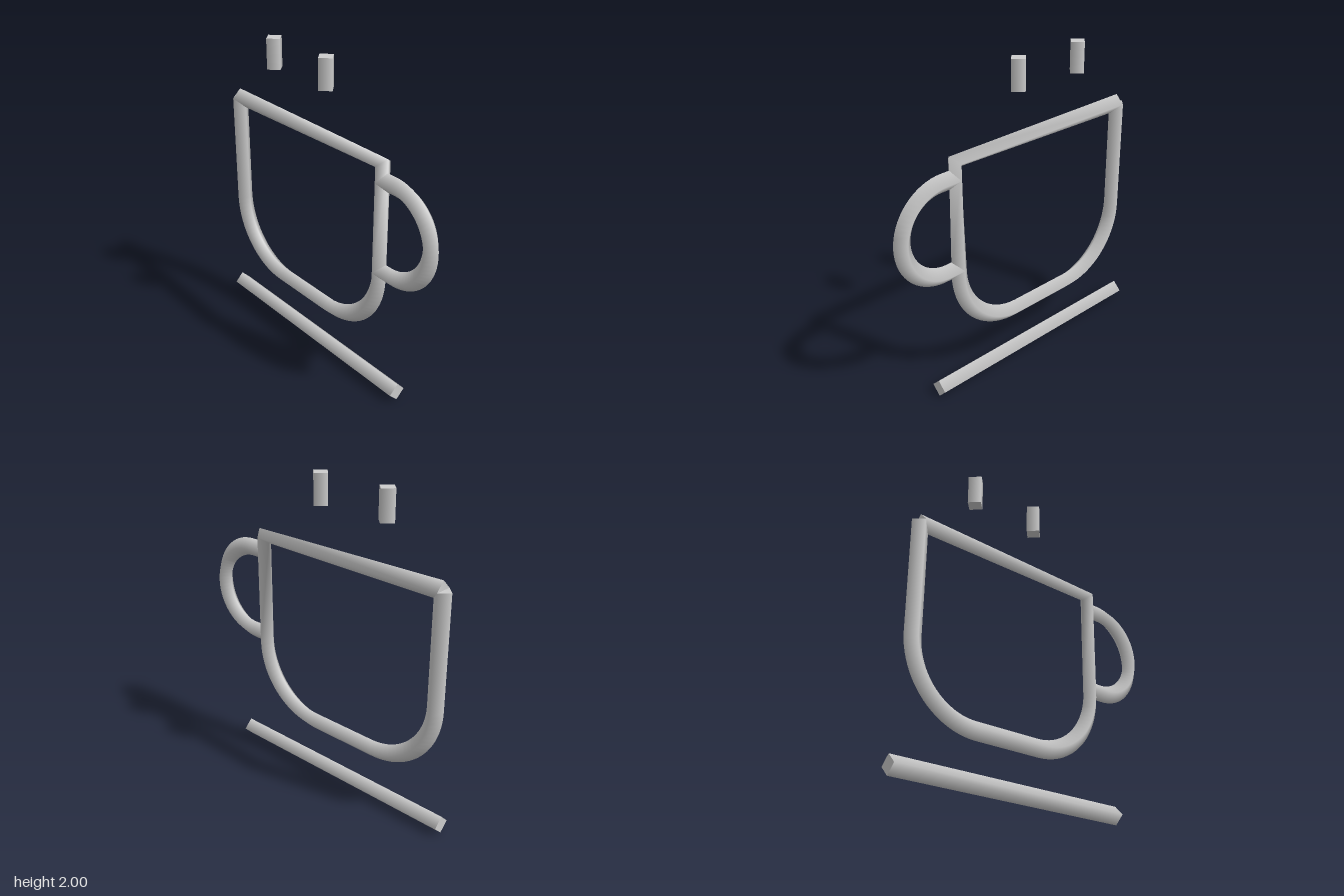
import * as THREE from 'three';

const R = 0.0575;

// Sweeps a smooth-shaded four-sided tube along a path in the xy plane, with flat end caps.
function sweep(path) {
  const pos = [], nor = [], idx = [];
  const dir = (a, b) => b.clone().sub(a).normalize();
  const ring = (p, t, flat) => {
    const first = pos.length / 3;
    for (let j = 0; j < 4; j++) {
      const c = Math.round(Math.cos(j * Math.PI / 2)), s = Math.round(Math.sin(j * Math.PI / 2));
      const n = [-t.y * c, t.x * c, s];
      pos.push(p.x + n[0] * R, p.y + n[1] * R, n[2] * R);
      if (flat) nor.push(t.x * flat, t.y * flat, 0);
      else nor.push(...n);
    }
    return first;
  };
  const last = path.length - 1;
  const tangents = path.map((p, i) => {
    if (p.t) return p.t;
    if (i === 0) return dir(p, path[1]);
    if (i === last) return dir(path[last - 1], p);
    return dir(path[i - 1], p).add(dir(p, path[i + 1])).normalize();
  });
  path.forEach((p, i) => {
    const k = ring(p, tangents[i], 0);
    if (i === last) return;
    for (let j = 0; j < 4; j++) {
      const a = k + j, b = k + (j + 1) % 4;
      idx.push(a, b, b + 4, a, b + 4, a + 4);
    }
  });
  const s = ring(path[0], tangents[0], -1);
  idx.push(s, s + 2, s + 1, s, s + 3, s + 2);
  const e = ring(path[last], tangents[last], 1);
  idx.push(e, e + 1, e + 2, e, e + 2, e + 3);

  const g = new THREE.BufferGeometry();
  g.setAttribute('position', new THREE.Float32BufferAttribute(pos, 3));
  g.setAttribute('normal', new THREE.Float32BufferAttribute(nor, 3));
  g.setIndex(idx);
  return g;
}

const pt = (x, y) => new THREE.Vector2(x, y);

// Arc points carrying their exact tangents.
function arc(cx, cy, r, a0, a1, steps) {
  const sign = Math.sign(a1 - a0);
  return Array.from({ length: steps + 1 }, (_, i) => {
    const a = a0 + (a1 - a0) * i / steps;
    const p = pt(cx + r * Math.cos(a), cy + r * Math.sin(a));
    p.t = pt(-Math.sin(a) * sign, Math.cos(a) * sign);
    return p;
  });
}

export function createModel() {
  const group = new THREE.Group();
  const grey = new THREE.MeshStandardMaterial({ color: 0xcccccc });
  grey.name = 'light grey';
  const add = (name, path) => {
    const mesh = new THREE.Mesh(sweep(path), grey);
    mesh.name = name;
    group.add(mesh);
  };
  const PI = Math.PI;

  // Cup outline: left wall, rounded base, right wall, then the rim back to the left
  add('cupOutline', [
    pt(-0.857, 1.516),
    ...arc(-0.407, 0.805, 0.45, PI, 1.5 * PI, 20),
    ...arc(0.05, 0.805, 0.45, 1.5 * PI, 2 * PI, 20),
    pt(0.5, 1.516),
    pt(-0.857, 1.516),
  ]);

  // Handle loop running into the right wall
  add('handle', [
    pt(0.5, 1.417),
    ...arc(0.6, 1.129, 0.288, PI / 2, -PI / 2, 32),
    pt(0.5, 0.841),
  ]);

  // Saucer bar under the cup
  add('saucer', [pt(-0.95, R), pt(0.695, R)]);

  // Two short steam strokes
  add('steamLeft', [pt(0.017, 1.81), pt(0.017, 2)]);
  add('steamRight', [pt(-0.467, 1.81), pt(-0.467, 2)]);

  return group;
}
